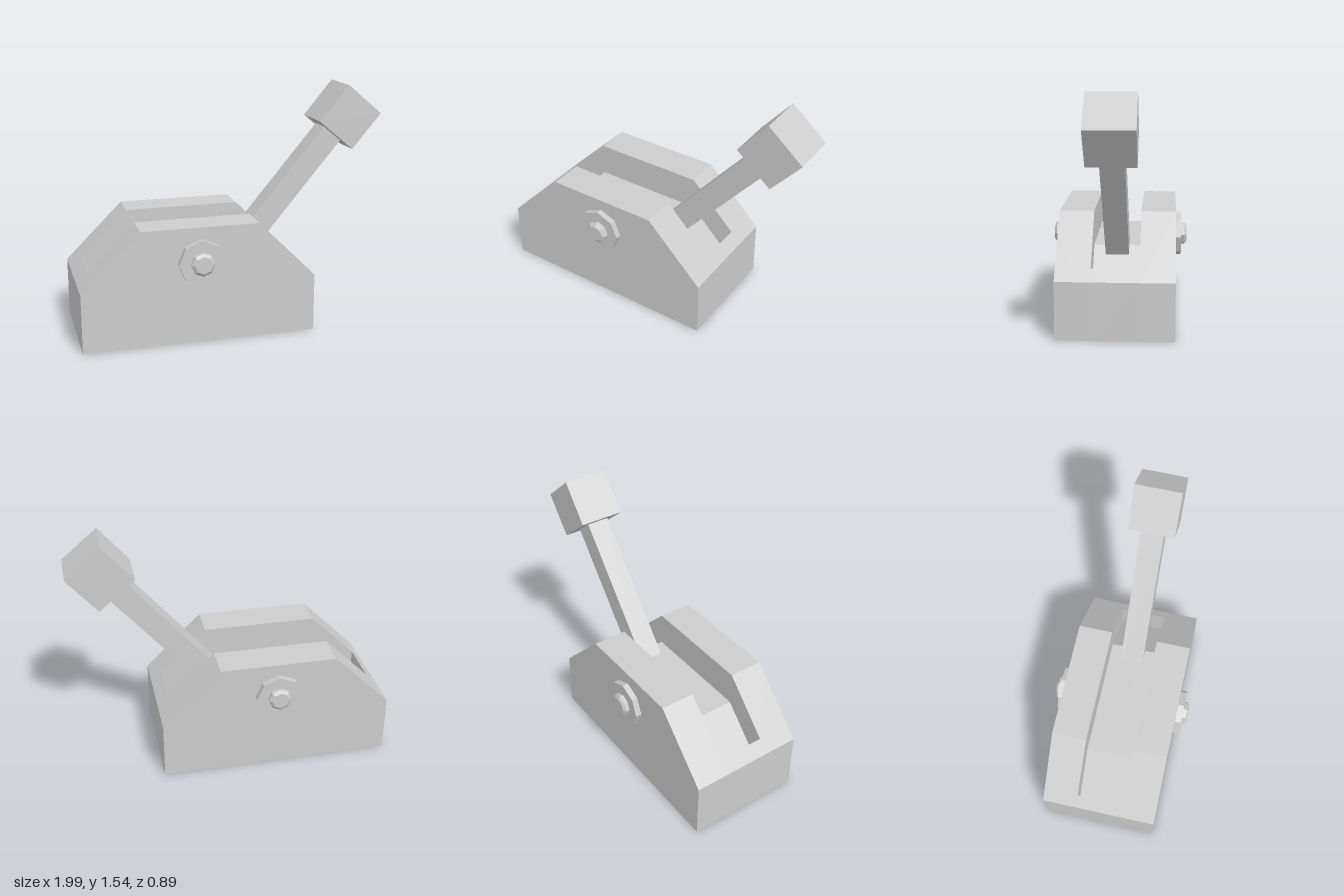
import * as THREE from 'three';

const grey = new THREE.MeshStandardMaterial({ color: 0xcccccc });
grey.name = 'plain grey';

function addMesh(parent, name, geometry, x = 0, y = 0, z = 0) {
  const mesh = new THREE.Mesh(geometry, grey);
  mesh.name = name;
  mesh.position.set(x, y, z);
  parent.add(mesh);
  return mesh;
}

// Side profile extruded along z
function slab(points, depth) {
  const shape = new THREE.Shape(points.map(([x, y]) => new THREE.Vector2(x, y)));
  return new THREE.ExtrudeGeometry(shape, { depth, bevelEnabled: false });
}

// Eight-sided disc pointing along +z
function disc(rFront, rBack, length) {
  const g = new THREE.CylinderGeometry(rFront, rBack, length, 8).toNonIndexed();
  g.rotateX(Math.PI / 2);
  g.computeVertexNormals();
  return g;
}

export function createModel() {
  const model = new THREE.Group();
  model.name = 'leverSwitch';

  // Housing: two cheeks and a core whose sunken floor repeats the roof line
  const housing = new THREE.Group();
  housing.name = 'housing';
  model.add(housing);
  const cheek = [[-1, 0], [0.48, 0], [0.48, 0.37], [0.11, 0.74], [-0.63, 0.74], [-1, 0.37]];
  const core = [
    [-1, 0], [0.48, 0], [0.48, 0.37], [0.41, 0.44], [0.41, 0.22], [0.11, 0.52],
    [-0.63, 0.52], [-0.93, 0.22], [-0.93, 0.44], [-1, 0.37],
  ];
  addMesh(housing, 'leftCheek', slab(cheek, 0.22), 0, 0, 0.15);
  addMesh(housing, 'rightCheek', slab(cheek, 0.22), 0, 0, -0.37);
  addMesh(housing, 'slottedCore', slab(core, 0.3), 0, 0, -0.15);

  // Lever: tilted group with its origin at the centre of the knob
  const lever = new THREE.Group();
  lever.name = 'lever';
  lever.position.set(0.787, 1.328, 0);
  lever.rotation.z = THREE.MathUtils.degToRad(-40);
  model.add(lever);
  addMesh(lever, 'knob', new THREE.BoxGeometry(0.295, 0.295, 0.295));
  addMesh(lever, 'shaft', new THREE.BoxGeometry(0.148, 1.0, 0.148), 0, -0.64, 0);

  // Pivot bolts, one on each side
  for (const side of [1, -1]) {
    const bolt = new THREE.Group();
    bolt.name = side > 0 ? 'frontBolt' : 'backBolt';
    bolt.position.set(-0.26, 0.52, side * 0.37);
    if (side < 0) bolt.rotation.y = Math.PI;
    addMesh(bolt, 'washer', disc(0.147, 0.147, 0.038), 0, 0, 0.019);
    addMesh(bolt, 'boltHead', disc(0.074, 0.074, 0.022), 0, 0, 0.049);
    addMesh(bolt, 'boltBevel', disc(0.055, 0.074, 0.015), 0, 0, 0.0675);
    model.add(bolt);
  }

  return model;
}
